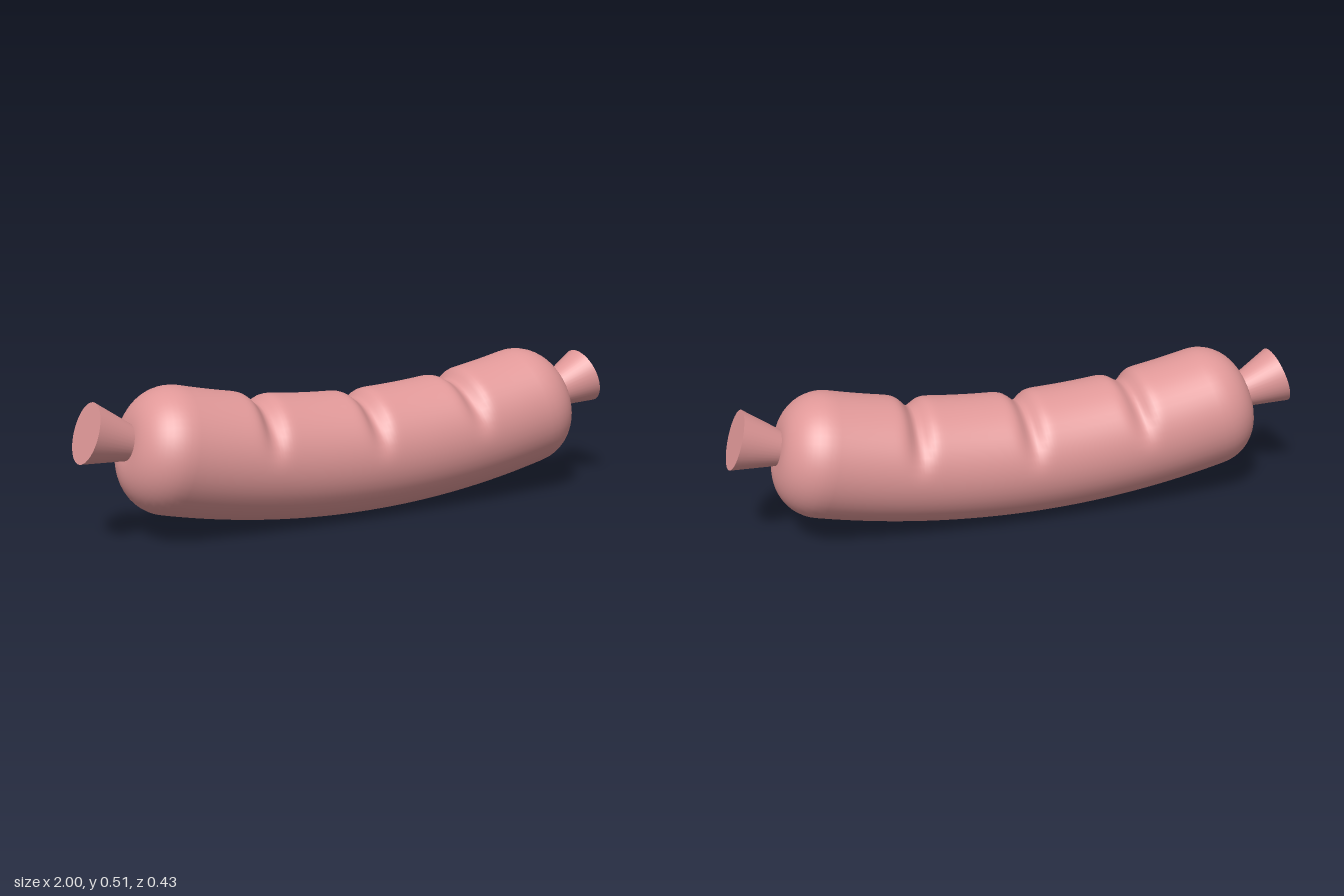
import * as THREE from 'three';

const RADIUS = 0.213, FILLET = 0.15, HALF = 0.688, BEND = 0.175, BASE = 0.214;
const GROOVES = [-0.405, 0, 0.405];

// Stations along the bent axis: position, tilt and radius
function stations() {
  const list = [];
  const at = (x, past, r) => {
    const tilt = Math.atan(2 * BEND * x);
    list.push({
      x: x + past * Math.cos(tilt),
      y: BASE + BEND * x * x + past * Math.sin(tilt),
      tilt, r,
    });
  };
  const cap = (side, k) => {
    const a = (k / 12) * Math.PI / 2;
    at(side * HALF, side * FILLET * Math.sin(a), RADIUS - FILLET * (1 - Math.cos(a)));
  };
  at(-HALF, -FILLET, 0);
  for (let k = 12; k > 0; k--) cap(-1, k);
  for (let i = 0; i <= 120; i++) at(HALF * (i / 60 - 1), 0, RADIUS);
  for (let k = 1; k <= 12; k++) cap(1, k);
  at(HALF, FILLET, 0);
  return list;
}

// Cross-cut depth: deepest on top, fading out down the sides
function cutDepth(x, up) {
  const fade = THREE.MathUtils.smoothstep(up, 0, 0.8);
  let d = 0;
  for (const g of GROOVES) d += Math.exp(-(((x - g) / 0.036) ** 2));
  return 0.034 * fade * d;
}

function bodyGeometry() {
  const sides = 48, rings = stations(), pos = [], index = [];
  rings.forEach(({ x, y, tilt, r }, i) => {
    for (let j = 0; j < sides; j++) {
      const a = (j / sides) * Math.PI * 2, up = Math.sin(a);
      const rr = r > 0 ? r - cutDepth(x, up) : 0;
      pos.push(x - Math.sin(tilt) * rr * up, y + Math.cos(tilt) * rr * up, rr * Math.cos(a));
      if (i < rings.length - 1) {
        const p = i * sides + j, q = i * sides + (j + 1) % sides;
        index.push(p, p + sides, q, q, p + sides, q + sides);
      }
    }
  });
  const geo = new THREE.BufferGeometry();
  geo.setAttribute('position', new THREE.Float32BufferAttribute(pos, 3));
  geo.setIndex(index);
  geo.computeVertexNormals();
  return geo;
}

export function createModel() {
  const model = new THREE.Group();
  model.name = 'sausage';
  const skin = new THREE.MeshStandardMaterial({ color: 0xe09898 });
  skin.name = 'sausage pink';

  const body = new THREE.Mesh(bodyGeometry(), skin);
  body.name = 'body';
  model.add(body);

  // Flared casing ends, continuing the bend
  const inner = new THREE.Vector3(0.80, 0.327, 0), outer = new THREE.Vector3(0.967, 0.384, 0);
  const length = inner.distanceTo(outer);
  for (const side of [1, -1]) {
    const end = new THREE.Mesh(new THREE.CylinderGeometry(0.101, 0.051, length, 40), skin);
    end.name = side > 0 ? 'leftCasingEnd' : 'rightCasingEnd';
    const mid = inner.clone().add(outer).multiplyScalar(0.5);
    end.position.set(side * mid.x, mid.y, 0);
    end.rotation.z = -side * Math.atan2(outer.x - inner.x, outer.y - inner.y);
    model.add(end);
  }
  return model;
}
